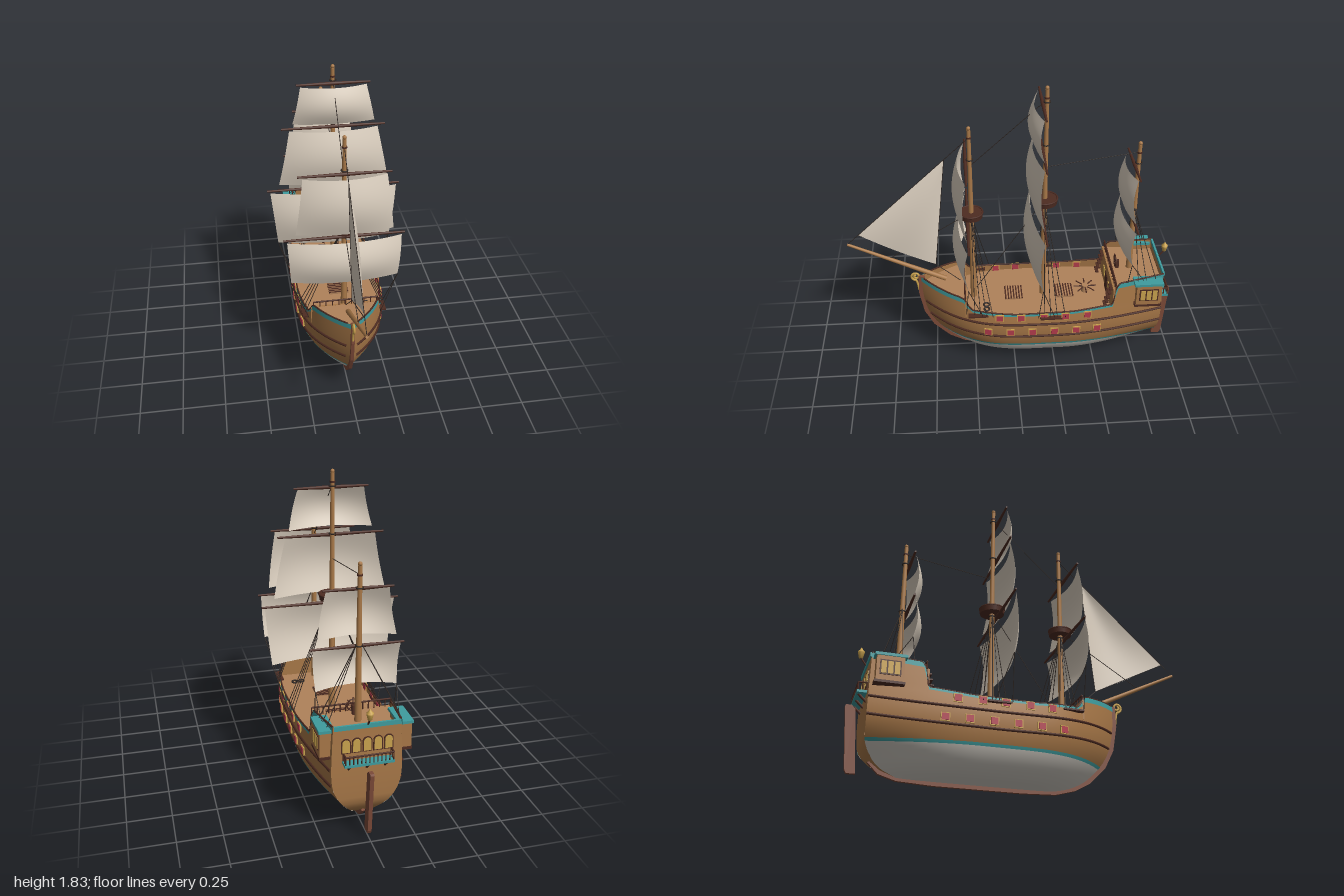
import * as THREE from 'three';
import { ParametricGeometry } from 'three/addons/geometries/ParametricGeometry.js';

const mat = (name, color, side = THREE.FrontSide) => {
  const m = new THREE.MeshStandardMaterial({ color, side });
  m.name = name;
  return m;
};
const V = (x, y, z) => new THREE.Vector3(x, y, z);
const mix = THREE.MathUtils.lerp;

// Smooth (or straight) lookup through a few [x, value] points
const table = (p, smooth = true) => {
  const slope = i => {
    const a = p[Math.max(i - 1, 0)], b = p[Math.min(i + 1, p.length - 1)];
    return (b[1] - a[1]) / (b[0] - a[0]);
  };
  return x => {
    x = THREE.MathUtils.clamp(x, p[0][0], p[p.length - 1][0]);
    let i = 0;
    while (i < p.length - 2 && x > p[i + 1][0]) i++;
    const h = p[i + 1][0] - p[i][0], t = (x - p[i][0]) / h;
    if (!smooth) return mix(p[i][1], p[i + 1][1], t);
    const t2 = t * t, t3 = t2 * t;
    return (2 * t3 - 3 * t2 + 1) * p[i][1] + (t3 - 2 * t2 + t) * h * slope(i)
      + (3 * t2 - 2 * t3) * p[i + 1][1] + (t3 - t2) * h * slope(i + 1);
  };
};

// Hull lines: half breadth, stem, stern and transom fullness by height; sheer by z
const breadth = table([[0.02, 0], [0.03, 0.06], [0.05, 0.12], [0.1, 0.185], [0.2, 0.24], [0.33, 0.262], [0.5, 0.25], [0.66, 0.235]]);
const stemZ = table([[0.02, 0.2], [0.05, 0.3], [0.1, 0.39], [0.2, 0.49], [0.3, 0.545], [0.45, 0.575], [0.66, 0.575]]);
const sternZ = table([[0.02, -0.68], [0.06, -0.79], [0.12, -0.86], [0.2, -0.9], [0.66, -0.9]]);
const aft = table([[0.02, 0.2], [0.1, 0.35], [0.2, 0.6], [0.3, 0.72], [0.66, 0.78]]);
const sheerZ = table([[-0.9, 0.655], [-0.615, 0.62], [-0.59, 0.475], [-0.35, 0.45], [0, 0.445], [0.27, 0.465], [0.315, 0.54], [0.575, 0.575]], false);
const sheer = s => sheerZ(mix(-0.9, 0.575, s));

const hull = (s, y, side = 1, out = 0) => {
  const a = aft(y), t = Math.max(0, (s - 0.55) / 0.45);
  const plan = s < 0.45 ? mix(a, 1, Math.sin(s / 0.45 * Math.PI / 2)) : 1 - t ** 3;
  return V(side * (breadth(y) * plan + out), y, mix(sternZ(y), stemZ(y), s));
};
const hullAt = (z, y, side, out) => hull((z - sternZ(y)) / (stemZ(y) - sternZ(y)), y, side, out);

export function createModel() {
  const root = new THREE.Group();
  root.name = 'sailingShip';
  const D = THREE.DoubleSide;
  const wood = mat('hullWood', 0xa87848, D), deckWood = mat('deckWood', 0xb0825a, D);
  const dark = mat('darkWood', 0x4e2c22), keelRed = mat('keelWood', 0x7c4a38);
  const white = mat('hullBottom', 0xd2cdc4, D), canvas = mat('sailCanvas', 0xdcd0c0, D);
  const teal = mat('tealPaint', 0x3f9c9e, D), red = mat('redPaint', 0xb23c4c);
  const gold = mat('gold', 0xcaa34e), rope = mat('rope', 0x302824);

  const add = (name, geo, m, pos) => {
    const mesh = new THREE.Mesh(geo, m);
    mesh.name = name;
    if (pos) mesh.position.copy(pos);
    root.add(mesh);
    return mesh;
  };
  const box = (name, w, h, d, m, x, y, z) => add(name, new THREE.BoxGeometry(w, h, d), m, V(x, y, z));
  const surface = (name, m, nu, nv, f) =>
    add(name, new ParametricGeometry((u, v, p) => p.copy(f(u, v)), nu, nv), m);
  const rod = (name, a, b, r0, r1, m, sides = 10) => {
    const d = b.clone().sub(a);
    const mesh = add(name, new THREE.CylinderGeometry(r1, r0, d.length(), sides), m, a.clone().lerp(b, 0.5));
    mesh.quaternion.setFromUnitVectors(V(0, 1, 0), d.normalize());
    return mesh;
  };
  const line = (name, a, b) => rod(name, a, b, 0.0022, 0.0022, rope, 5);
  const railing = (name, a, b, h, n, m) => {
    const up = V(0, h, 0);
    rod(name, a.clone().add(up), b.clone().add(up), 0.005, 0.005, m, 6);
    for (let i = 0; i <= n; i++) {
      const p = a.clone().lerp(b, i / n);
      rod(name + 'Post', p, p.clone().add(up), 0.0035, 0.0035, m, 6);
    }
  };

  // Hull shell in horizontal colour bands, both sides
  for (const side of [1, -1]) {
    const band = (name, m, lo, hi, rows, out = 0, power = 1) =>
      surface(name, m, rows, 90, (u, s) => {
        const k = (side > 0 ? u : 1 - u) ** power;
        return hull(s, mix(lo(s), hi(s), k), side, out);
      });
    band('hullBottom', white, () => 0.02, () => 0.178, 14, 0, 1.7);
    band('waterlineStripe', teal, () => 0.176, () => 0.192, 1, 0.002);
    band('hullSide', wood, () => 0.178, sheer, 10);
    band('sheerStripe', teal, s => sheer(s) - (sheer(s) > 0.5 ? 0.032 : 0.016), sheer, 1, 0.004);

    const strake = (name, m, r, f, out) => {
      const pts = [];
      for (let i = 0; i <= 60; i++) pts.push(hull(i / 60 * 0.985, f(i / 60 * 0.985), side, out));
      add(name, new THREE.TubeGeometry(new THREE.CatmullRomCurve3(pts), 120, r, 6), m);
    };
    strake('upperWale', dark, 0.008, s => 0.367 + 0.036 * (2 * s - 1) ** 2, 0.003);
    strake('lowerWale', dark, 0.008, s => 0.27 + 0.036 * (2 * s - 1) ** 2, 0.003);
    strake('railCap', dark, 0.005, sheer, 0);

    // Gun ports
    const port = (z, y) => {
      const p = hullAt(z, y, side, 0.002), q = hullAt(z + 0.02, y, side, 0.002);
      const yaw = Math.atan2(q.x - p.x, 0.02);
      box('portFrame', 0.012, 0.048, 0.05, gold, p.x, p.y, p.z).rotation.y = yaw;
      box('portLid', 0.019, 0.038, 0.04, red, p.x, p.y, p.z).rotation.y = yaw;
    };
    [0.1, -0.03, -0.17, -0.3, -0.435].forEach(z => port(z, 0.422));
    [0.17, 0.035, -0.1, -0.235, -0.37, -0.5].forEach(z => port(z, 0.31));

    // Channels where the shrouds land
    for (const [z, y, l] of [[0.23, 0.435, 0.12], [-0.21, 0.42, 0.13]])
      box('channel', 0.035, 0.01, l, dark, hullAt(z, y, side, 0.008).x, y, z);

    // Quarter gallery
    box('quarterGallery', 0.07, 0.15, 0.15, wood, side * 0.216, 0.545, -0.805);
    box('galleryRoof', 0.086, 0.016, 0.175, teal, side * 0.214, 0.625, -0.803);
    box('gallerySill', 0.08, 0.014, 0.165, dark, side * 0.214, 0.47, -0.805);
    box('galleryFrame', 0.006, 0.085, 0.115, dark, side * 0.252, 0.55, -0.805);
    for (let i = -1; i <= 1; i++)
      box('galleryWindow', 0.006, 0.07, 0.028, gold, side * 0.2545, 0.55, -0.805 + i * 0.036);
  }

  // Transom and decks
  surface('transom', wood, 16, 8, (u, v) => {
    const y = mix(0.02, 0.655, u), p = hull(0, y);
    return V(p.x * (2 * v - 1), y, p.z);
  });
  box('transomTrim', 0.36, 0.025, 0.012, teal, 0, 0.645, -0.902);
  for (const [name, y, a, b] of [['mainDeck', 0.405, -0.6, 0.32], ['foreDeck', 0.515, 0.3, 0.57], ['poopDeck', 0.58, -0.899, -0.595]])
    surface(name, deckWood, 24, 2, (u, v) => {
      const p = hullAt(mix(a, b, u), y, 1, 0);
      return V(p.x * 0.99 * (2 * v - 1), y, p.z);
    });
  box('poopBulkhead', 0.46, 0.18, 0.012, wood, 0, 0.49, -0.597);
  box('foreBulkhead', 0.41, 0.115, 0.012, wood, 0, 0.458, 0.302);
  box('cabinDoor', 0.07, 0.12, 0.008, dark, 0, 0.465, -0.59);
  for (const side of [1, -1]) {
    box('cabinWindow', 0.05, 0.05, 0.008, gold, side * 0.085, 0.495, -0.59);
    for (let i = 0; i < 5; i++)
      box('ladderStep', 0.06, 0.008, 0.02, dark, side * 0.175, 0.435 + i * 0.032, -0.555 - i * 0.007);
  }
  railing('poopRail', V(-0.225, 0.58, -0.605), V(0.225, 0.58, -0.605), 0.045, 14, dark);
  railing('foreRail', V(-0.19, 0.515, 0.305), V(0.19, 0.515, 0.305), 0.035, 10, dark);

  // Keel and stem
  const keel = new THREE.Shape([[-0.86, 0.1], [-0.8, 0.04], [-0.7, 0.01], [-0.5, 0], [0, 0], [0.2, 0.008], [0.32, 0.04], [0.41, 0.09], [0.51, 0.19], [0.565, 0.3],
    [0.592, 0.45], [0.588, 0.58], [0.55, 0.57], [0.555, 0.45], [0.52, 0.3], [0.46, 0.2], [0.36, 0.1], [0.2, 0.04], [-0.6, 0.04], [-0.8, 0.12]]
    .map(p => new THREE.Vector2(...p)));
  const keelGeo = new THREE.ExtrudeGeometry(keel, { depth: 0.02, bevelEnabled: false });
  add('keel', keelGeo.translate(0, 0, -0.01).rotateY(-Math.PI / 2), keelRed);

  // Rudder
  const blade = new THREE.Shape([[-0.915, 0.03], [-0.965, 0.03], [-0.975, 0.05], [-1, 0.4], [-0.995, 0.41], [-0.965, 0.41], [-0.945, 0.39]].map(p => new THREE.Vector2(...p)));
  const bladeGeo = new THREE.ExtrudeGeometry(blade, { depth: 0.022, bevelEnabled: false });
  add('rudder', bladeGeo.translate(0, 0, -0.011).rotateY(-Math.PI / 2), keelRed);

  // Stern balcony and arched windows
  box('balconyFloor', 0.27, 0.014, 0.058, teal, 0, 0.447, -0.929);
  railing('balconyRail', V(-0.13, 0.454, -0.952), V(0.13, 0.454, -0.952), 0.045, 12, dark);
  for (const x of [-0.13, 0.13]) railing('balconySide', V(x, 0.454, -0.905), V(x, 0.454, -0.952), 0.045, 2, dark);
  for (const x of [-0.1, 0, 0.1]) rod('balconyBracket', V(x, 0.4, -0.9), V(x, 0.442, -0.945), 0.008, 0.008, dark, 6);
  const arch = (w, h) => {
    const s = new THREE.Shape();
    s.moveTo(w, 0); s.lineTo(w, h); s.absarc(0, h, w, 0, Math.PI, false); s.lineTo(-w, 0);
    return new THREE.ExtrudeGeometry(s, { depth: 0.006, bevelEnabled: false, curveSegments: 8 });
  };
  for (let i = -2; i <= 2; i++) {
    add('sternWindowFrame', arch(0.026, 0.06), dark, V(i * 0.058, 0.495, -0.906));
    add('sternWindow', arch(0.02, 0.054), gold, V(i * 0.058, 0.501, -0.909));
  }

  // Stern lantern
  rod('lanternPost', V(0, 0.645, -0.9), V(0, 0.695, -0.938), 0.005, 0.005, dark, 6);
  add('lantern', new THREE.LatheGeometry([[0, 0.69], [0.012, 0.695], [0.019, 0.725], [0.02, 0.733], [0.008, 0.745], [0, 0.76]].map(p => new THREE.Vector2(...p)), 8), gold, V(0, 0, -0.938));

  // Bowsprit and gilded bow scroll
  rod('bowsprit', V(0, 0.55, 0.42), V(0, 0.835, 0.996), 0.016, 0.008, wood);
  const scroll = [];
  for (let i = 0; i <= 24; i++) {
    const a = i * 0.4, r = 0.03 - i * 0.001;
    scroll.push(V(0, 0.575 - r * Math.cos(a), 0.605 + r * Math.sin(a)));
  }
  scroll.unshift(V(0, 0.47, 0.59), V(0, 0.51, 0.595));
  add('bowScroll', new THREE.TubeGeometry(new THREE.CatmullRomCurve3(scroll), 60, 0.007, 6), gold);

  // Masts, each with yards: [height, half length], sails: [top, bottom, half top, half bottom]
  const masts = [
    { z: 0.25, h: 1.6, base: 0.4, top: 1.02, r: 0.072, yards: [[0.975, 0.35], [1.378, 0.262]],
      sails: [[0.965, 0.69, 0.33, 0.315], [1.368, 1.015, 0.235, 0.28]], shroud: [0.435, [0.25, 0.215, 0.18, 0.14]] },
    { z: -0.185, h: 1.83, base: 0.4, top: 1.1, r: 0.078, yards: [[1.055, 0.405], [1.458, 0.306], [1.725, 0.212]],
      sails: [[1.045, 0.69, 0.385, 0.35], [1.448, 1.1, 0.26, 0.33], [1.715, 1.49, 0.19, 0.24]], shroud: [0.42, [-0.17, -0.21, -0.25, -0.3]] },
    { z: -0.725, h: 1.47, base: 0.575, yards: [[1.005, 0.255], [1.32, 0.19]],
      sails: [[0.995, 0.76, 0.24, 0.225], [1.31, 1.045, 0.17, 0.215]], shroud: [0.63, [-0.74, -0.79, -0.85]] },
  ];
  for (const m of masts) {
    rod('mast', V(0, m.base, m.z), V(0, m.h - 0.02, m.z), 0.019, 0.011, wood, 14);
    add('mastCap', new THREE.SphereGeometry(0.012, 10, 8), wood, V(0, m.h - 0.012, m.z));
    rod('mastBand', V(0, m.h - 0.075, m.z), V(0, m.h - 0.065, m.z), 0.015, 0.015, dark);
    if (m.top) {
      rod('crowsNest', V(0, m.top - 0.017, m.z), V(0, m.top + 0.015, m.z), m.r * 0.93, m.r, dark, 20);
      add('crowsNestRim', new THREE.TorusGeometry(m.r - 0.003, 0.005, 6, 20).rotateX(Math.PI / 2), dark, V(0, m.top + 0.015, m.z));
    }
    const yz = m.z + 0.024;
    for (const [y, w] of m.yards) {
      for (const side of [1, -1]) rod('yard', V(0, y, yz), V(side * w, y, yz), 0.011, 0.006, dark, 8);
      add('yardRing', new THREE.TorusGeometry(0.018, 0.004, 6, 12).rotateX(Math.PI / 2), rope, V(0, y + 0.012, m.z));
    }
    for (const [t, b, wt, wb] of m.sails) {
      const depth = 0.035 + 0.09 * wt;
      surface('squareSail', canvas, 20, 14, (u, v) => {
        const x = 2 * u - 1;
        return V(x * mix(wb, wt, v), mix(b, t, v) + 0.006 * (1 - x * x) * (1 - v),
          yz + 0.008 + depth * (1 - x * x) * (0.75 + 0.25 * Math.sin(v * Math.PI)) + 0.02 * Math.sin(v * Math.PI));
      });
    }
    // Standing rigging and sheets
    const [sy, zs] = m.shroud, [, low, , wl] = m.sails[0];
    for (const side of [1, -1]) {
      for (const z of zs) line('shroud', V(side * 0.012, m.top ? m.top - 0.02 : 1.03, m.z), hullAt(z, sy, side, 0.014));
      line('sheet', V(side * wl, low, yz + 0.01), hullAt(m.z - 0.05, sy, side, 0.012));
      line('tack', V(side * wl, low, yz + 0.01), hullAt(m.z + 0.05, sy, side, 0.012));
    }
  }

  // Fore-and-aft stays
  [[1.53, 0.25, 0.835, 0.995], [1.02, 0.27, 0.715, 0.76], [1.735, -0.17, 1.355, 0.24],
    [1.05, -0.15, 0.47, 0.23], [1.4, -0.72, 1.325, -0.19], [1.0, -0.72, 0.45, -0.35]]
    .slice(0, 5).forEach(([a, az, b, bz]) => line('stay', V(0, a, az), V(0, b, bz)));

  // Jib
  const head = V(0, 1.395, 0.395), tack = V(0, 0.9, 0.925), clew = V(0.012, 0.67, 0.475);
  surface('jib', canvas, 12, 14, (u, v) => {
    const p = head.clone().lerp(tack.clone().lerp(clew, u), v);
    p.x += 0.03 * Math.sin(Math.PI * v * 0.85) * Math.sin(Math.PI * u);
    return p;
  });
  line('jibEdge', head, tack);
  line('jibEdge', head, clew);
  line('jibEdge', tack, clew);
  line('jibSheet', clew, V(0, 0.53, 0.33));

  // Deck fittings: gratings, capstan, rope coils and wheel
  for (const z of [-0.32, 0]) {
    box('hatch', 0.12, 0.016, 0.11, deckWood, 0, 0.41, z);
    for (let i = -3; i <= 3; i++) box('hatchSlat', 0.12, 0.01, 0.008, dark, 0, 0.416, z + i * 0.017);
  }
  rod('capstan', V(0, 0.405, -0.455), V(0, 0.45, -0.455), 0.024, 0.02, deckWood, 12);
  for (let i = 0; i < 8; i++) {
    const a = i * Math.PI / 4, c = Math.cos(a), s = Math.sin(a);
    rod('capstanBar', V(c * 0.015, 0.442, -0.455 + s * 0.015), V(c * 0.072, 0.442, -0.455 + s * 0.072), 0.004, 0.004, dark, 6);
    rod('wheelSpoke', V(0, 0.63, -0.635), V(c * 0.045, 0.63 + s * 0.045, -0.635), 0.003, 0.003, dark, 6);
  }
  add('wheelRim', new THREE.TorusGeometry(0.034, 0.004, 6, 20), dark, V(0, 0.63, -0.635));
  box('wheelStand', 0.02, 0.055, 0.02, dark, 0, 0.607, -0.65);
  for (const x of [0.105, 0.148])
    add('ropeCoil', new THREE.TorusGeometry(0.017, 0.005, 6, 16).rotateX(Math.PI / 2), rope, V(x, 0.41, 0.175));
  return root;
}
